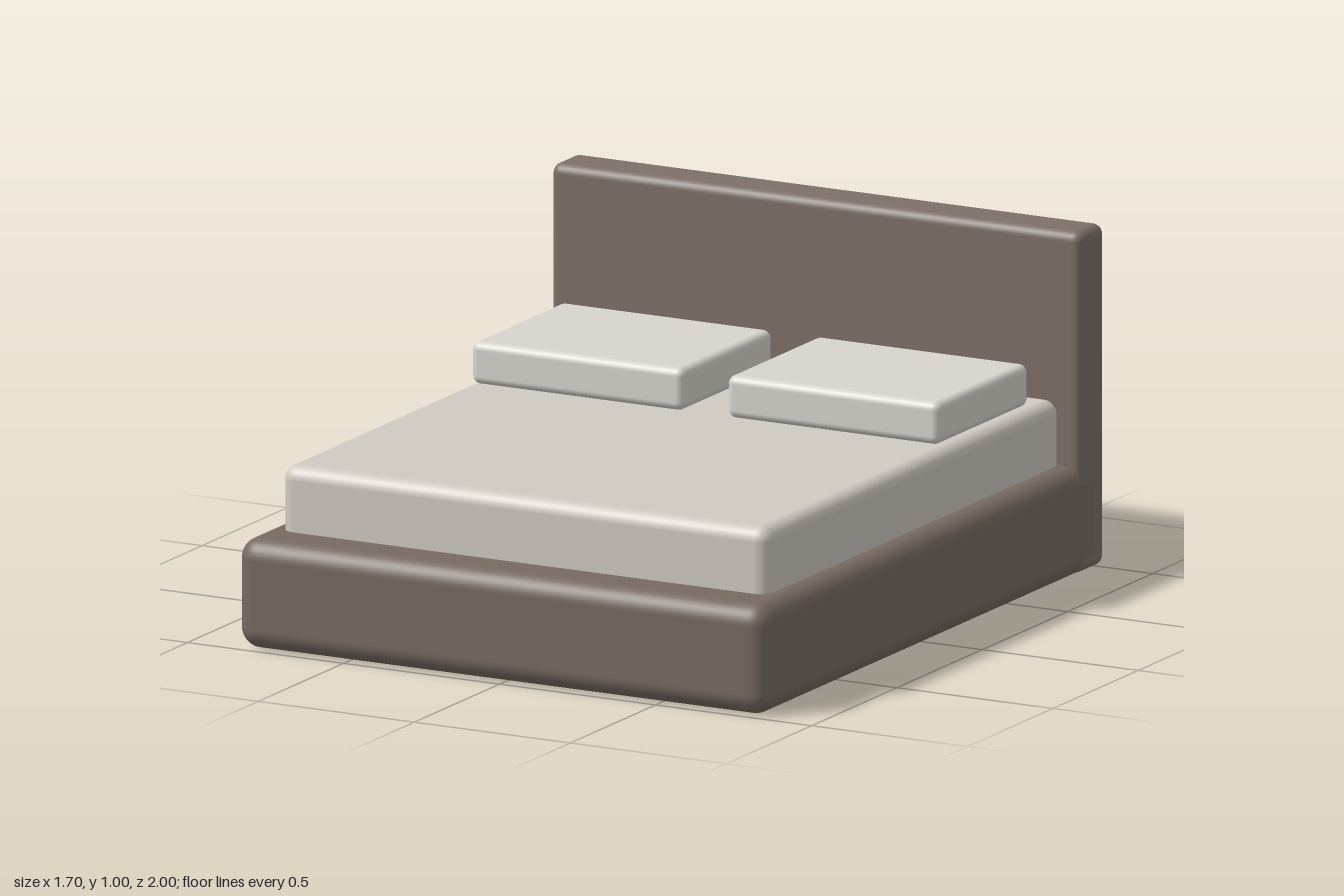
import * as THREE from 'three';
import { RoundedBoxGeometry } from 'three/addons/geometries/RoundedBoxGeometry.js';

const material = (color) => new THREE.MeshStandardMaterial({ color });

// Rounded box given by its [min, max] extent on each axis
function softBox(name, [x0, x1], [y0, y1], [z0, z1], radius, mat) {
  const geometry = new RoundedBoxGeometry(x1 - x0, y1 - y0, z1 - z0, 5, radius);
  const mesh = new THREE.Mesh(geometry, mat);
  mesh.name = name;
  mesh.position.set((x0 + x1) / 2, (y0 + y1) / 2, (z0 + z1) / 2);
  return mesh;
}

export function createModel() {
  const bed = new THREE.Group();
  bed.name = 'bed';

  const frameMat = material(0x776a60);
  const headboardMat = material(0x7d7068);
  const mattressMat = material(0xcfcac1);
  const pillowMat = material(0xd8d5ce);

  // Upholstered base and headboard
  bed.add(softBox('base', [-0.85, 0.85], [0, 0.32], [-0.98, 1], 0.06, frameMat));
  bed.add(softBox('headboard', [-0.85, 0.85], [0.01, 1], [-1, -0.85], 0.03, headboardMat));

  // Mattress sunk slightly into the base
  bed.add(softBox('mattress', [-0.78, 0.78], [0.26, 0.51], [-0.87, 0.86], 0.042, mattressMat));

  // Pair of pillows, mirrored across the middle
  for (const [name, side] of [['leftPillow', 1], ['rightPillow', -1]]) {
    const pillow = softBox(name, [0.07, 0.75], [0.515, 0.638], [-0.735, -0.2], 0.024, pillowMat);
    pillow.position.x *= side;
    bed.add(pillow);
  }

  return bed;
}
